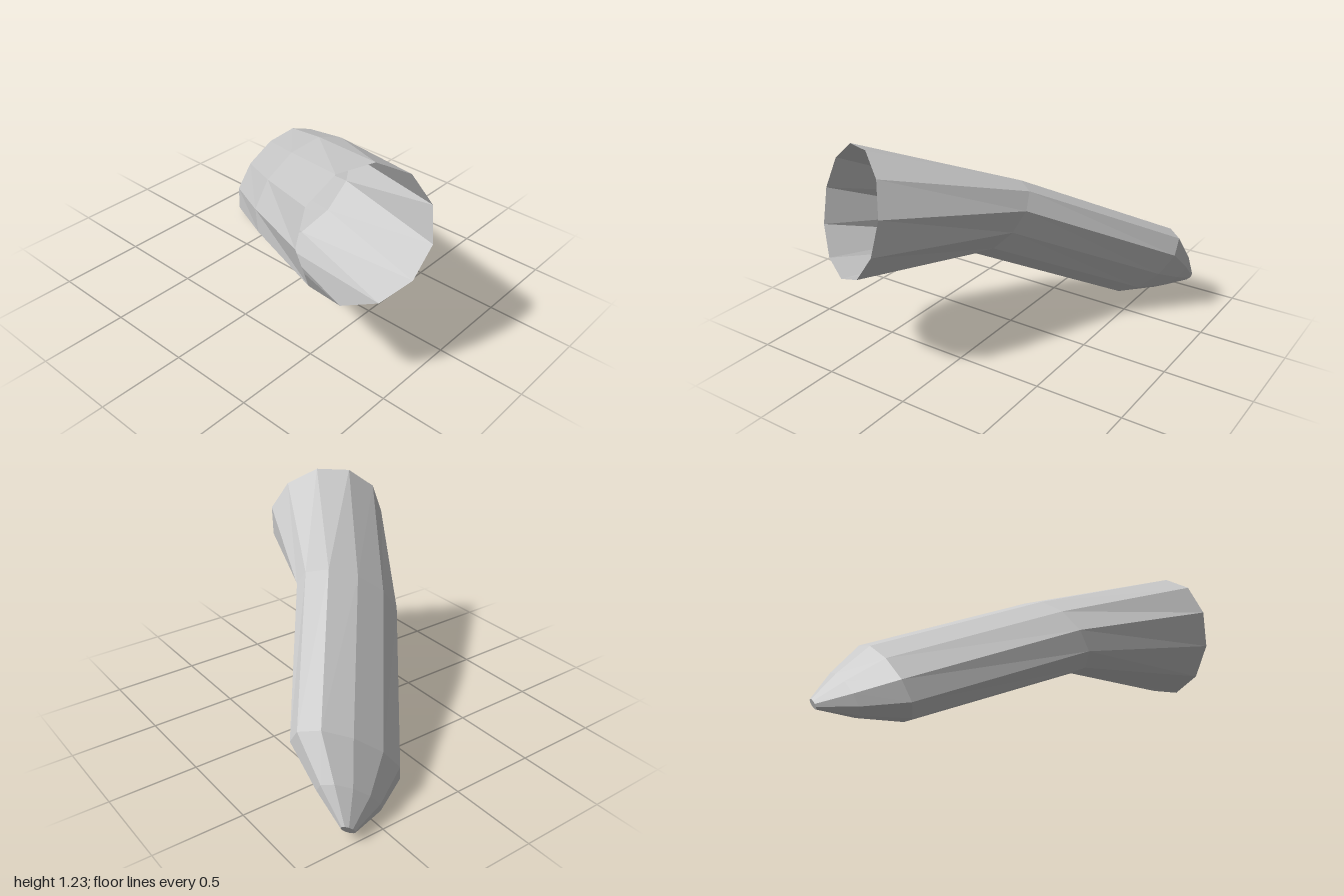
import * as THREE from 'three';

const SIDES = 11;

// Elliptical cross-sections: centre c, half-axes u and v, from the open cuff to the tip
const mid = { u: [-0.03, 0.247, -0.16], v: [-0.13, -0.041, 0.238] };
const low = { u: [-0.022, 0.247, -0.175], v: [-0.134, -0.049, 0.216] };
const scaled = (a, s) => a.map((n) => n * s);
const SECTIONS = [
  { c: [0.817, 0.883, 0.454], u: [-0.045, 0.343, -0.098], v: [-0.173, 0.064, 0.312] },
  { c: [0.058, 0.676, 0.073], ...mid },
  { c: [-0.701, 0.25, -0.495], ...low },
  { c: [-0.866, 0.147, -0.605], u: scaled(low.u, 0.57), v: scaled(low.v, 0.57) },
  { c: [-0.98, 0.078, -0.698], u: scaled(low.u, 0.13), v: scaled(low.v, 0.13) },
];

function loft(sections) {
  const positions = [];
  const index = [];
  for (const { c, u, v } of sections) {
    for (let k = 0; k < SIDES; k++) {
      const t = (k / SIDES) * Math.PI * 2;
      for (let i = 0; i < 3; i++) positions.push(c[i] + u[i] * Math.cos(t) + v[i] * Math.sin(t));
    }
  }
  // Skin between neighbouring sections
  for (let r = 0; r < sections.length - 1; r++) {
    for (let k = 0; k < SIDES; k++) {
      const n = (k + 1) % SIDES;
      const a = r * SIDES + k, b = a + SIDES;
      const c = r * SIDES + n, d = c + SIDES;
      index.push(a, b, c, b, d, c);
    }
  }
  // Close the tip; the cuff end stays open
  const last = (sections.length - 1) * SIDES;
  const tip = positions.length / 3;
  positions.push(...sections[sections.length - 1].c);
  for (let k = 0; k < SIDES; k++) index.push(last + k, tip, last + ((k + 1) % SIDES));

  const geometry = new THREE.BufferGeometry();
  geometry.setAttribute('position', new THREE.Float32BufferAttribute(positions, 3));
  geometry.setIndex(index);
  const flat = geometry.toNonIndexed();
  flat.computeVertexNormals();
  return flat;
}

export function createModel() {
  const group = new THREE.Group();
  group.name = 'bentSleeve';
  const material = new THREE.MeshStandardMaterial({
    color: 0xcccccc, flatShading: true, side: THREE.DoubleSide,
  });
  const sleeve = new THREE.Mesh(loft(SECTIONS), material);
  sleeve.name = 'sleeve';
  group.add(sleeve);
  return group;
}
